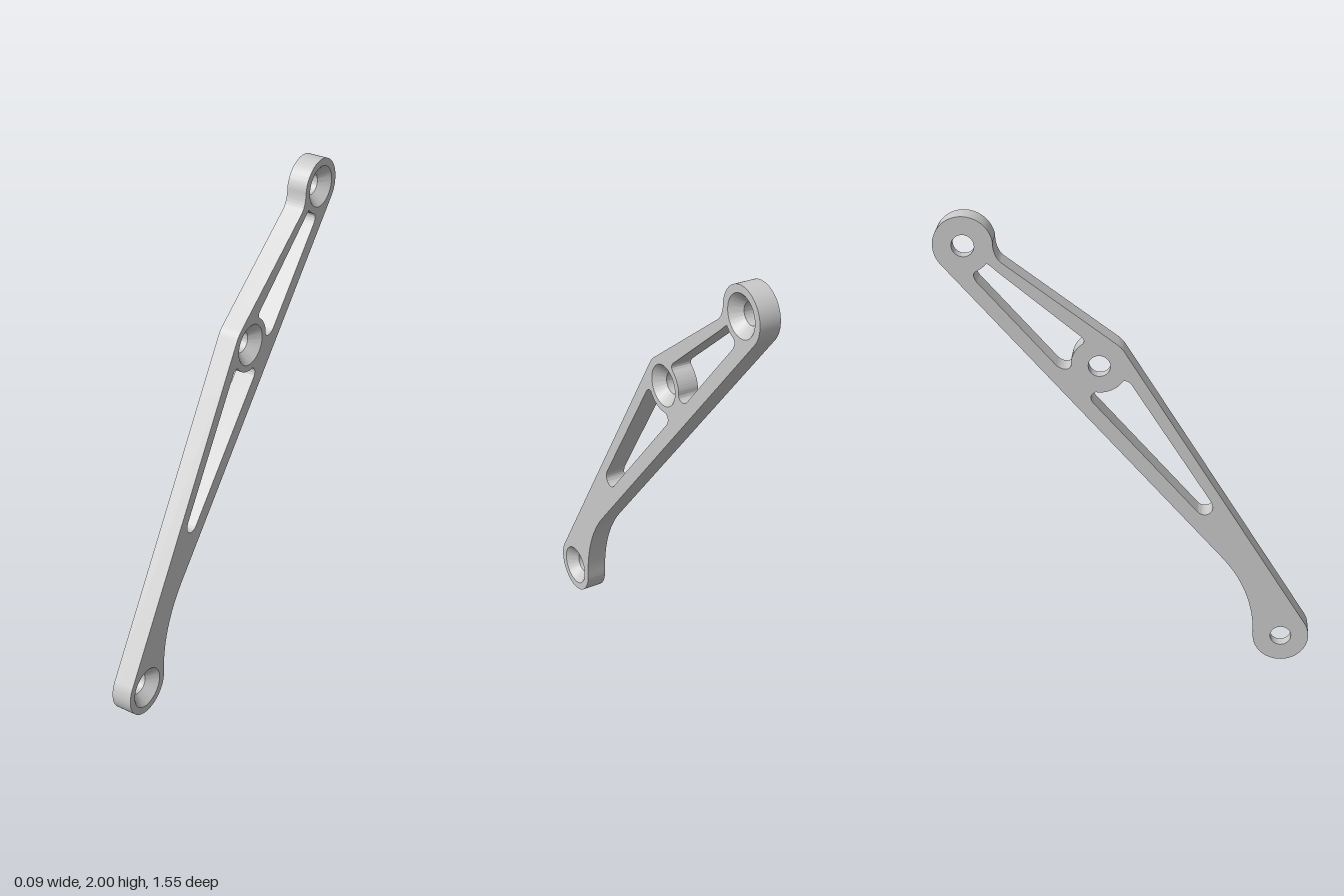
import * as THREE from 'three';
import { toCreasedNormals } from 'three/addons/utils/BufferGeometryUtils.js';

const T = 0.09;          // plate thickness
const R = 0.12;          // boss radius
const BORE = 0.045, SINK = 0.088;
const [LOW, MID, TOP] = [[-0.655, 0.12], [0.122, 1.378], [0.655, 1.88]];

// Outer profile, drawn as (-z, y)
function outline() {
  const s = new THREE.Shape();
  s.absarc(...LOW, R, 0, 2.586, true);
  s.absarc(...MID, R, 2.586, 2.214, true);
  s.lineTo(0.504, 1.812);
  s.quadraticCurveTo(0.536, 1.838, 0.537, 1.897);
  s.absarc(...TOP, R, 3.0, -0.719, true);
  s.lineTo(-0.392, 0.504);
  s.quadraticCurveTo(-0.536, 0.339, -0.535, 0.12);
  return s;
}

// Windows must run against the outline so that their walls face inward
const reversed = path => new THREE.Path(path.getPoints(24).reverse());

// Long tapered window under the middle boss
function lowerWindow() {
  const p = new THREE.Path();
  p.moveTo(-0.338, 0.774);
  p.lineTo(-0.011, 1.294);
  p.quadraticCurveTo(0.005, 1.32, 0.027, 1.313);
  p.absarc(...MID, 0.116, 3.75, 4.85, false);
  p.quadraticCurveTo(0.17, 1.246, 0.148, 1.214);
  p.lineTo(-0.282, 0.724);
  p.bezierCurveTo(-0.314, 0.684, -0.373, 0.72, -0.338, 0.774);
  return reversed(p);
}

// Shorter window between the middle and top bosses
function upperWindow() {
  const p = new THREE.Path();
  p.moveTo(0.201, 1.511);
  p.lineTo(0.525, 1.777);
  p.quadraticCurveTo(0.546, 1.799, 0.563, 1.808);
  p.absarc(...TOP, 0.116, 3.8, 4.29, false);
  p.quadraticCurveTo(0.626, 1.76, 0.604, 1.729);
  p.lineTo(0.297, 1.379);
  p.bezierCurveTo(0.27, 1.352, 0.228, 1.357, 0.237, 1.396);
  p.absarc(...MID, 0.116, 0.15, 0.95, false);
  p.quadraticCurveTo(0.172, 1.489, 0.201, 1.511);
  return reversed(p);
}

function plateShape(holeRadius) {
  const s = outline();
  s.holes.push(lowerWindow(), upperWindow());
  if (holeRadius) {
    for (const c of [LOW, MID, TOP]) {
      s.holes.push(new THREE.Path().absarc(...c, holeRadius, 0, Math.PI * 2, false));
    }
  }
  return s;
}

// Only the side walls of the extruded plate
function wallGeometry() {
  const ext = new THREE.ExtrudeGeometry(plateShape(0), { depth: T, bevelEnabled: false, curveSegments: 24 });
  const { start, count } = ext.groups[1];
  const pos = ext.attributes.position.array.slice(start * 3, (start + count) * 3);
  const g = new THREE.BufferGeometry();
  g.setAttribute('position', new THREE.BufferAttribute(pos, 3));
  return toCreasedNormals(g, 0.5).translate(0, 0, -T / 2);
}

export function createModel() {
  const grey = new THREE.MeshStandardMaterial({ color: 0xcacaca });
  grey.name = 'plainGrey';
  const group = new THREE.Group();
  group.name = 'bracketArm';

  // Stand the profile in the y-z plane, thickness along x
  const add = (name, geometry) => {
    const m = new THREE.Mesh(geometry.rotateY(Math.PI / 2), grey);
    m.name = name;
    group.add(m);
  };

  add('edgeWalls', wallGeometry());

  // Countersunk face and plain face
  add('countersunkFace', new THREE.ShapeGeometry(plateShape(SINK), 24).translate(0, 0, T / 2));
  const plain = new THREE.ShapeGeometry(plateShape(BORE), 24).translate(0, 0, -T / 2);
  plain.index.array.reverse();
  plain.computeVertexNormals();
  add('plainFace', plain);

  // Countersunk screw holes
  const profile = [[SINK, T / 2], [BORE, 0.002], [BORE, -T / 2]].map(p => new THREE.Vector2(...p));
  [['lowerHole', LOW], ['middleHole', MID], ['upperHole', TOP]].forEach(([name, c]) => {
    const g = toCreasedNormals(new THREE.LatheGeometry(profile, 48), 0.5);
    add(name, g.rotateX(Math.PI / 2).translate(c[0], c[1], 0));
  });
  return group;
}
